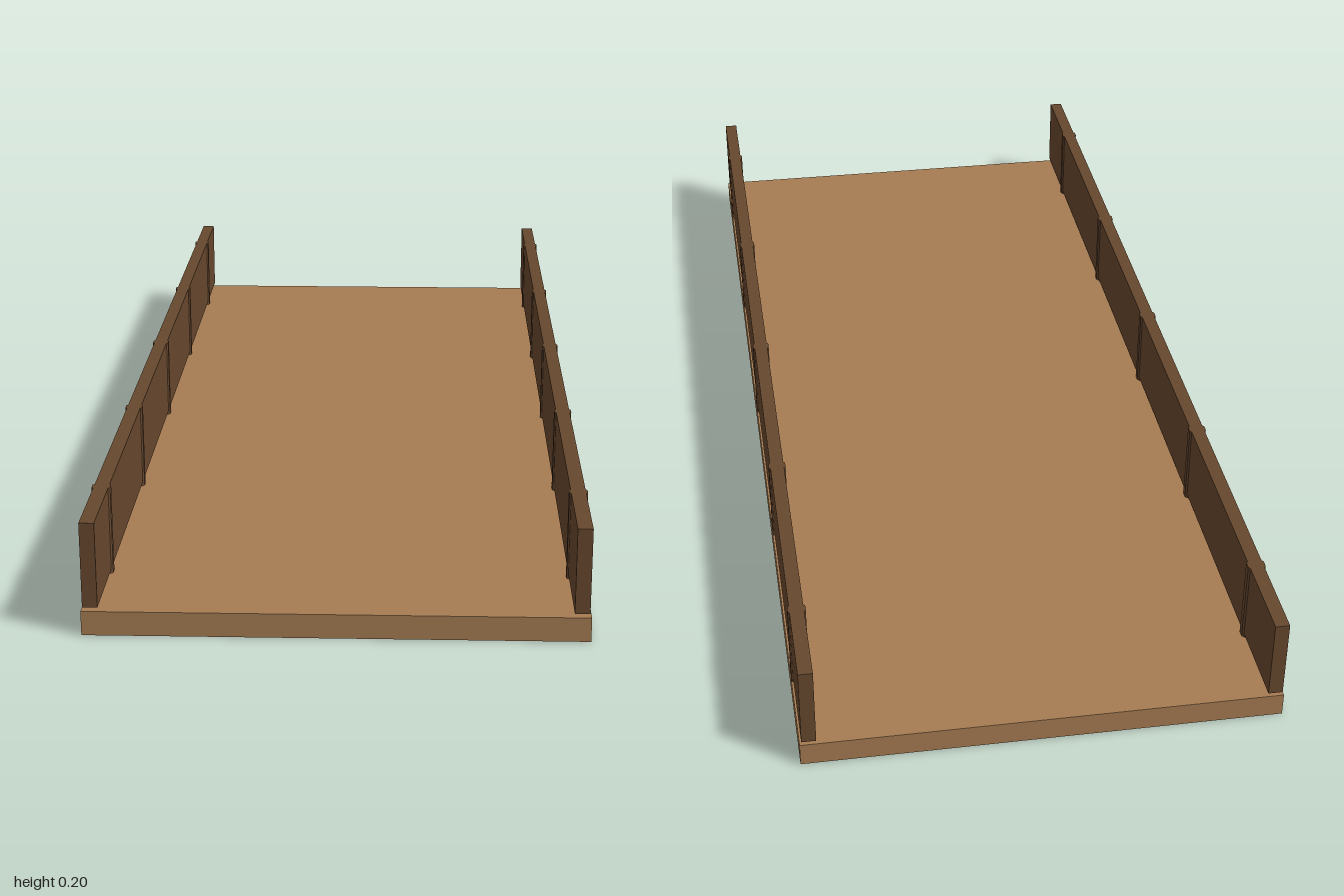
import * as THREE from 'three';

export function createModel() {
  const deckWood = new THREE.MeshStandardMaterial({ color: 0xa67c52 });
  deckWood.name = 'light wood';
  const railWood = new THREE.MeshStandardMaterial({ color: 0x67482e, flatShading: true });
  railWood.name = 'dark wood';

  const model = new THREE.Group();
  model.name = 'bridgeSection';
  const add = (parent, name, geometry, material, x, y, z) => {
    const mesh = new THREE.Mesh(geometry, material);
    mesh.name = name;
    mesh.position.set(x, y, z);
    parent.add(mesh);
  };

  // Flat deck
  const deckTop = 0.042, railTop = 0.196, railBottom = 0.049;
  add(model, 'deck', new THREE.BoxGeometry(0.828, deckTop, 2), deckWood, 0, deckTop / 2, 0);

  // Side walls, raised a little off the deck on octagonal posts
  const wall = new THREE.BoxGeometry(0.025, railTop - railBottom, 2);
  const post = new THREE.CylinderGeometry(0.0168, 0.0168, railTop - deckTop, 8);
  post.rotateY(Math.PI / 8);
  for (const side of [1, -1]) {
    const railing = new THREE.Group();
    railing.name = side > 0 ? 'leftRailing' : 'rightRailing';
    const x = side * 0.3985;
    add(railing, 'wall', wall, railWood, x, (railTop + railBottom) / 2, 0);
    for (let i = -2; i <= 2; i++) {
      add(railing, 'post', post, railWood, x, (railTop + deckTop) / 2, i * 0.4165);
    }
    model.add(railing);
  }
  return model;
}
